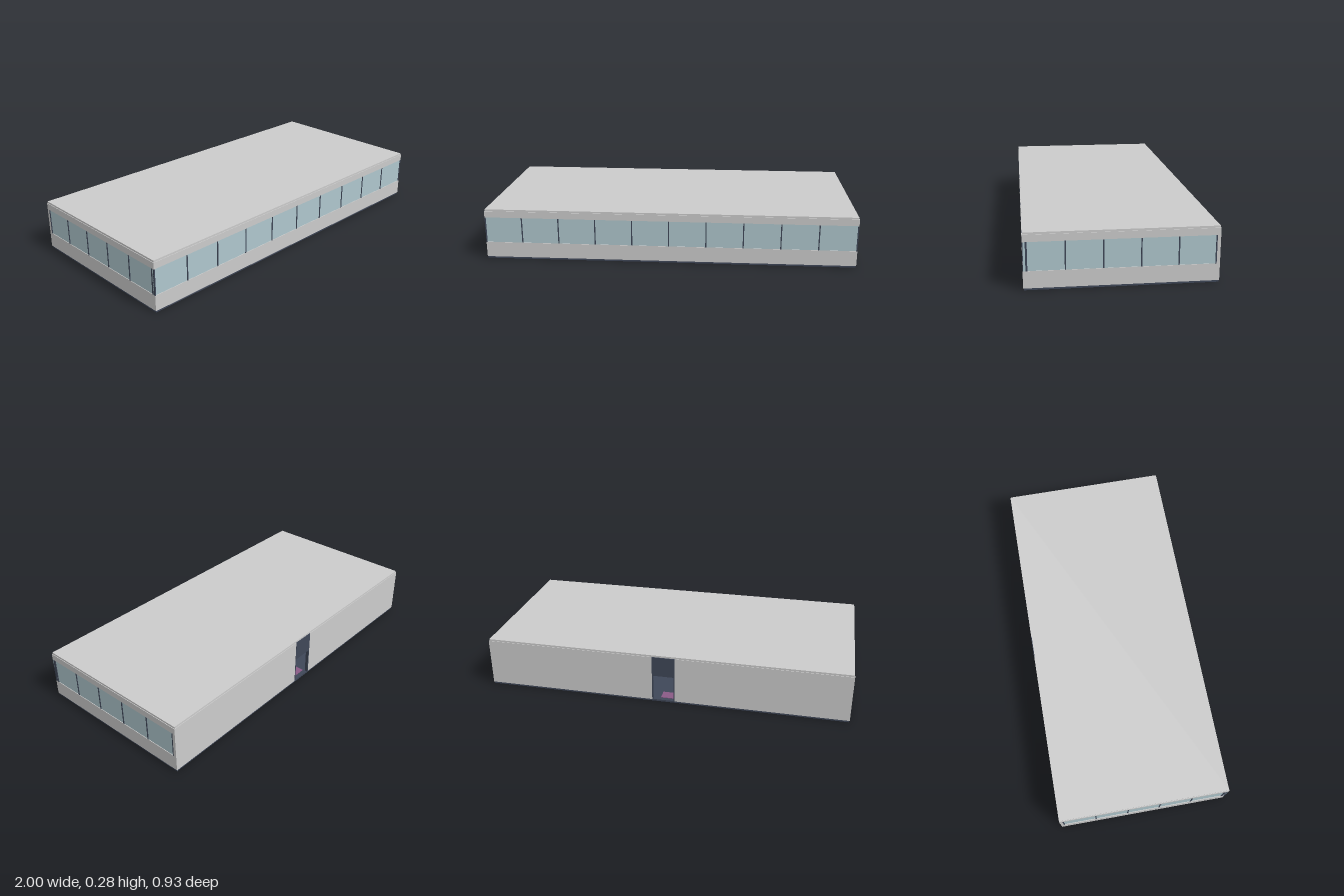
import * as THREE from 'three';

const GREY = new THREE.MeshStandardMaterial({ color: 0xcccccc });
const DARK = new THREE.MeshStandardMaterial({ color: 0x3f4758 });
const GLASS = new THREE.MeshStandardMaterial({ color: 0xafc7cd });
const MAUVE = new THREE.MeshStandardMaterial({ color: 0x8a5a86 });

const W = 1, D = 0.463;          // half width and half depth
const Y0 = 0.01, Y1 = 0.27;      // wall bottom and top
const SILL = 0.094, HEAD = 0.235; // window band
const T = 0.016;                 // wall thickness
const DOOR = 0.063;              // half width of the doorway

// Box given by its minimum and maximum corners
function block(parent, name, material, [x0, y0, z0], [x1, y1, z1]) {
  const mesh = new THREE.Mesh(new THREE.BoxGeometry(x1 - x0, y1 - y0, z1 - z0), material);
  mesh.position.set((x0 + x1) / 2, (y0 + y1) / 2, (z0 + z1) / 2);
  mesh.name = name;
  parent.add(mesh);
  return mesh;
}

// Wall facing +z with its outer face at z = 0: sill, header, panes and mullions
function windowWall(name, half, panes) {
  const wall = new THREE.Group();
  wall.name = name;
  block(wall, 'sillPanel', GREY, [-half, Y0, -T], [half, SILL, 0]);
  block(wall, 'headerPanel', GREY, [-half, HEAD, -T], [half, Y1, 0]);
  block(wall, 'glass', GLASS, [-half, SILL, -T + 0.003], [half, HEAD, -0.003]);
  const bar = 0.003, span = half - bar;
  for (let i = 0; i <= panes; i++) {
    const x = -span + (2 * span * i) / panes;
    block(wall, 'mullion', DARK, [x - bar, SILL, -T], [x + bar, HEAD, 0]);
  }
  return wall;
}

export function createModel() {
  const model = new THREE.Group();
  model.name = 'pavilion';

  // Floor plate and roof plate
  block(model, 'floorPlate', DARK, [-W + 0.003, 0, -D + 0.003], [W - 0.003, Y0, D - 0.003]);
  block(model, 'roofPlate', GREY, [-W + 0.003, Y1 - 0.002, -D + 0.003], [W - 0.003, 0.28, D - 0.003]);

  // Glazed front and side walls
  const front = windowWall('frontWall', W, 10);
  front.position.z = D;
  model.add(front);
  for (const side of [1, -1]) {
    const wall = windowWall(side > 0 ? 'leftWall' : 'rightWall', D - T, 5);
    wall.rotation.y = (side * Math.PI) / 2;
    wall.position.x = side * W;
    model.add(wall);
  }

  // Plain back wall either side of the doorway
  const zb = -D, zi = -D + T;
  block(model, 'backWall', GREY, [-W, Y0, zb], [-DOOR, Y1, zi]);
  block(model, 'backWall', GREY, [DOOR, Y0, zb], [W, Y1, zi]);

  // Doorway: dark transom above an open entrance with slim jambs
  block(model, 'transom', DARK, [-DOOR, 0.158, zb - 0.001], [DOOR, Y1, zi]);
  for (const s of [-1, 1]) {
    const x = s * (DOOR - 0.003);
    block(model, 'doorJamb', DARK, [x - 0.003, Y0, zb - 0.001], [x + 0.003, 0.158, zi]);
  }

  // Mat just inside the entrance
  block(model, 'doorMat', MAUVE, [-0.05, Y0, zi + 0.01], [0.02, Y0 + 0.003, zi + 0.07]);

  return model;
}
